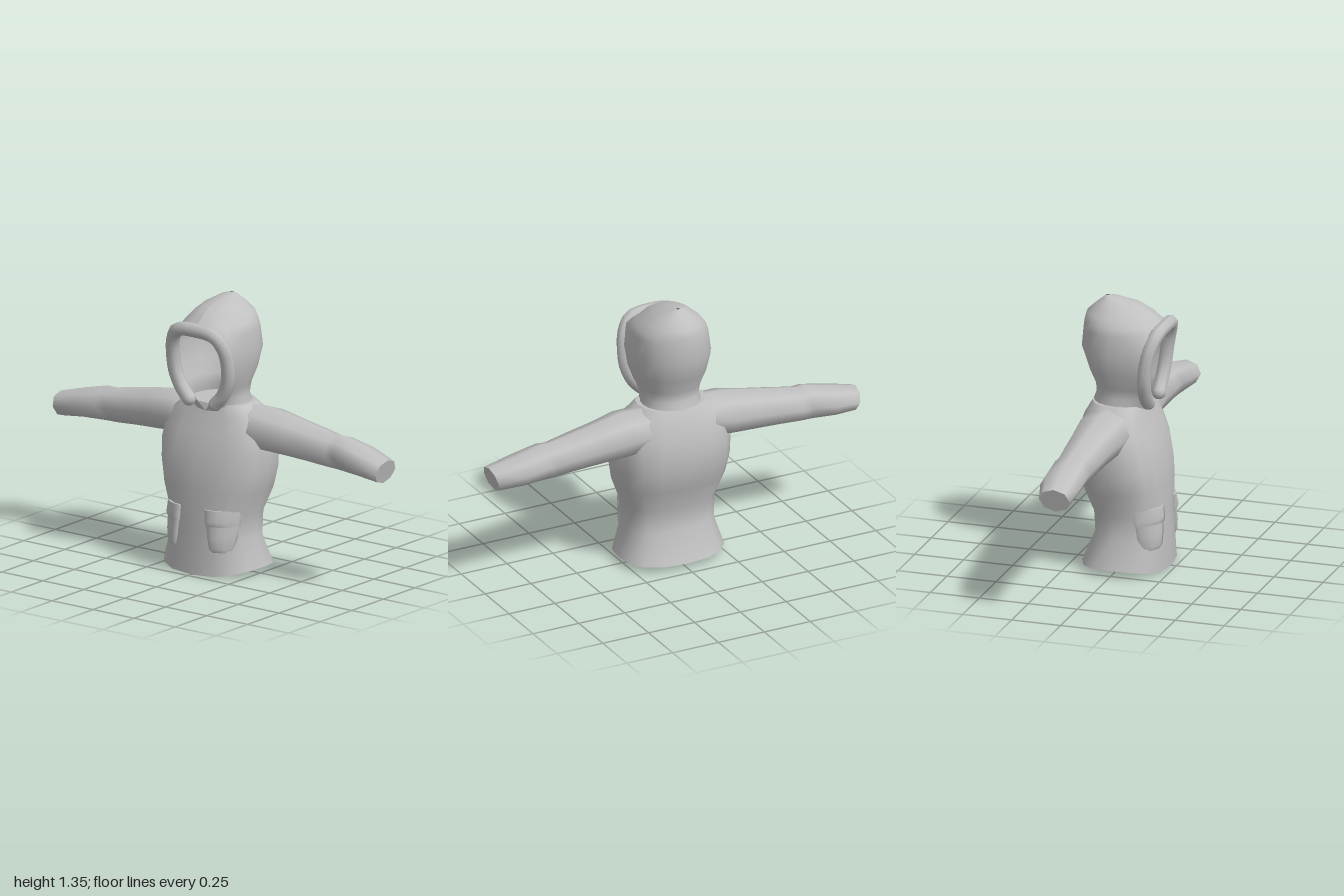
import * as THREE from 'three';

const cloth = new THREE.MeshStandardMaterial({ color: 0xc0c0c0, side: THREE.DoubleSide });
cloth.name = 'grey cloth';

// Skin a list of rings (arrays of [x, y, z]); caps get their own hard-edged vertices
function loft(rings, { closed = true, capStart = false, capEnd = false } = {}) {
  const n = rings[0].length, pos = rings.flat(2), index = [];
  for (let i = 0; i < rings.length - 1; i++) {
    for (let j = 0; j < (closed ? n : n - 1); j++) {
      const k = (j + 1) % n, a = i * n + j, b = i * n + k;
      index.push(a, b, b + n, a, b + n, a + n);
    }
  }
  const cap = (ring, flip) => {
    const base = pos.length / 3;
    pos.push(...ring.flat());
    pos.push(...[0, 1, 2].map(c => ring.reduce((s, p) => s + p[c], 0) / n));
    for (let j = 0; j < n; j++) {
      const a = base + j, b = base + (j + 1) % n;
      index.push(base + n, flip ? b : a, flip ? a : b);
    }
  };
  if (capStart) cap(rings[0], true);
  if (capEnd) cap(rings[rings.length - 1], false);
  const g = new THREE.BufferGeometry();
  g.setAttribute('position', new THREE.Float32BufferAttribute(pos, 3));
  g.setIndex(index);
  g.computeVertexNormals();
  return g;
}

const spow = (v, p) => Math.sign(v) * Math.abs(v) ** p;
const range = n => Array.from({ length: n }, (_, i) => i);

// Torso: rows of height, half width, front z, back z
function torso() {
  const rows = [
    [0.035, 0.272, 0.225, -0.2], [0.18, 0.228, 0.22, -0.135], [0.3, 0.232, 0.217, -0.142],
    [0.42, 0.28, 0.212, -0.19], [0.52, 0.298, 0.203, -0.222], [0.62, 0.303, 0.18, -0.225],
    [0.7, 0.29, 0.15, -0.213], [0.78, 0.25, 0.118, -0.19], [0.835, 0.17, 0.1, -0.16],
  ];
  const rings = rows.map(([y, w, zf, zb], r) => range(16).map(i => {
    const a = i / 16 * Math.PI * 2, c = Math.cos(a);
    const dip = r === 0 ? 0.035 * Math.max(0, c) ** 2 + 0.01 * Math.max(0, -c) : 0;
    return [w * spow(Math.sin(a), 0.8), y - dip, spow(c, 0.8) * (c > 0 ? zf : -zb)];
  }));
  return loft(rings, { capStart: true, capEnd: true });
}

// Sleeve: rows of x, top y, bottom y, front z, back z
function sleeve(side) {
  const rows = [
    [0.08, 0.83, 0.63, 0.09, -0.17], [0.28, 0.83, 0.608, 0.092, -0.182],
    [0.42, 0.805, 0.6, 0.065, -0.166], [0.55, 0.782, 0.594, 0.053, -0.158],
    [0.67, 0.76, 0.585, 0.04, -0.148], [0.72, 0.762, 0.585, 0.044, -0.15],
    [0.85, 0.73, 0.58, 0.05, -0.155], [0.985, 0.69, 0.57, 0.042, -0.115],
  ];
  const rings = rows.map(([x, yt, yb, zf, zb], r) => range(8).map(i => {
    const a = i / 8 * Math.PI * 2, c = Math.cos(a);
    const slant = r === rows.length - 1 ? 0.015 * c : 0;
    return [side * (x + slant), (yt + yb) / 2 + c * (yt - yb) / 2,
      (zf + zb) / 2 + side * Math.sin(a) * (zf - zb) / 2];
  }));
  return loft(rings, { capEnd: true });
}

// Hood: rows of height, half width, opening half width, front z, widest z, back z
function hood() {
  const rows = [
    [0.8, 0.16, 0, 0.112, -0.02, -0.175], [0.87, 0.14, 0.06, 0.13, -0.02, -0.147],
    [0.92, 0.15, 0.12, 0.132, -0.02, -0.15], [1.0, 0.176, 0.155, 0.14, -0.03, -0.185],
    [1.1, 0.19, 0.165, 0.153, -0.04, -0.22], [1.2, 0.18, 0.12, 0.185, -0.03, -0.212],
    [1.235, 0.168, 0, 0.18, -0.03, -0.208], [1.27, 0.14, 0, 0.145, -0.04, -0.2],
    [1.31, 0.095, 0, 0.085, -0.05, -0.157], [1.34, 0.045, 0, -0.02, -0.08, -0.12],
    [1.35, 0.008, 0, -0.09, -0.1, -0.108],
  ];
  const rings = rows.map(([y, w, o, zf, zc, zb]) => range(21).map(i => {
    const a = i / 20 * Math.PI * 2, s = Math.sin(a), c = Math.cos(a);
    const dir = i < 10 ? 1 : -1;
    return c > 0
      ? [dir * (o + (w - o) * Math.abs(s)), y, zc + c * (zf - zc)]
      : [w * s, y, zc + c * (zc - zb)];
  }));
  return loft(rings, { closed: false });
}

// Padded trim round the hood opening
function trim() {
  const half = [[0.08, 0.85, 0.135], [0.125, 0.9, 0.134], [0.16, 0.98, 0.14],
    [0.166, 1.08, 0.152], [0.152, 1.15, 0.168], [0.112, 1.205, 0.186]];
  const pts = [...half, [0, 1.22, 0.192], ...half.map(([x, y, z]) => [-x, y, z]).reverse()]
    .map(p => new THREE.Vector3(...p));
  const group = new THREE.Group();
  group.add(new THREE.Mesh(
    new THREE.TubeGeometry(new THREE.CatmullRomCurve3(pts), 32, 0.035, 8), cloth));
  for (const p of [pts[0], pts[pts.length - 1]]) {
    const end = new THREE.Mesh(new THREE.SphereGeometry(0.035, 8, 6), cloth);
    end.position.copy(p);
    group.add(end);
  }
  return group;
}

// Pocket pieces hug the curved front: rows of height, inner x, outer x, thickness
function pocketPiece(side, rows) {
  const front = x => 0.215 * (1 - (x / 0.235) ** 2.5) ** 0.4;
  const rings = rows.map(([y, xi, xo, t]) => {
    const across = range(5).map(i => xi + (xo - xi) * i / 4);
    const outer = across.map((x, i) => [side * x, y, front(x) + t * (i % 4 ? 1 : 0.5)]);
    const inner = across.map(x => [side * x, y, front(x) - 0.04]).reverse();
    const ring = [...outer, ...inner];
    return side > 0 ? ring : ring.reverse();
  });
  return loft(rings, { capStart: true, capEnd: true });
}

export function createModel() {
  const model = new THREE.Group();
  model.name = 'hoodedJacket';
  const add = (name, geometry) => {
    const mesh = new THREE.Mesh(geometry, cloth);
    mesh.name = name;
    model.add(mesh);
  };
  add('torso', torso());
  add('hood', hood());
  const hoodTrim = trim();
  hoodTrim.name = 'hoodTrim';
  model.add(hoodTrim);
  for (const [side, label] of [[1, 'left'], [-1, 'right']]) {
    add(label + 'Sleeve', sleeve(side));
    add(label + 'Pocket', pocketPiece(side, [
      [0.125, 0.11, 0.185, 0.008], [0.145, 0.1, 0.196, 0.018],
      [0.2, 0.092, 0.204, 0.02], [0.27, 0.085, 0.21, 0.012]]));
    add(label + 'PocketFlap', pocketPiece(side, [
      [0.255, 0.082, 0.212, 0.016], [0.28, 0.079, 0.214, 0.024],
      [0.335, 0.075, 0.215, 0.012]]));
  }
  return model;
}
